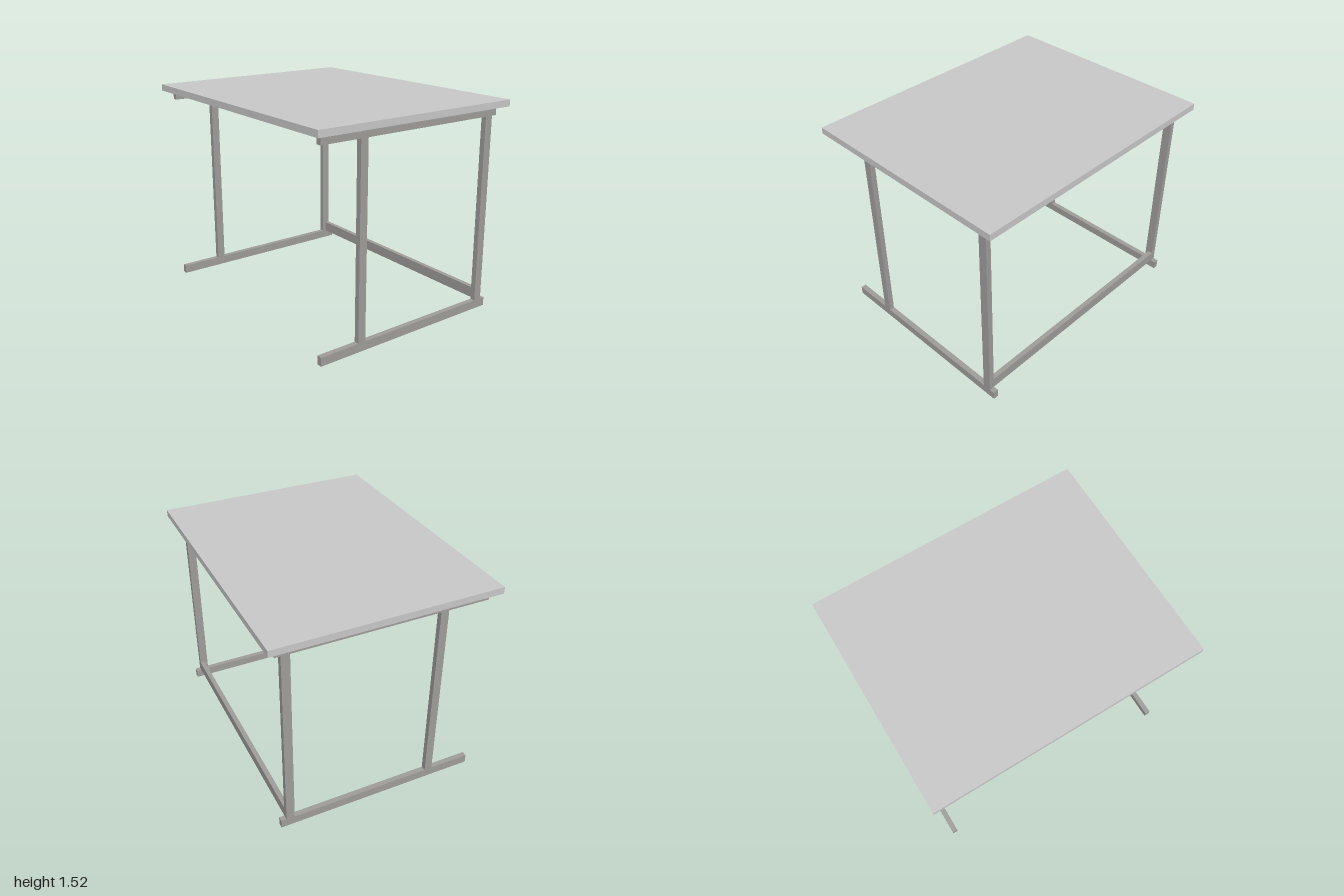
import * as THREE from 'three';

export function createModel() {
  const model = new THREE.Group();
  const topGrey = new THREE.MeshStandardMaterial({ color: 0xc8c8c8 });
  topGrey.name = 'light grey top';
  const frameGrey = new THREE.MeshStandardMaterial({ color: 0x9e9d9a });
  frameGrey.name = 'warm grey frame';

  // Box given by its limits on each axis
  function addBox(name, material, [x0, x1], [y0, y1], [z0, z1]) {
    const mesh = new THREE.Mesh(new THREE.BoxGeometry(x1 - x0, y1 - y0, z1 - z0), material);
    mesh.position.set((x0 + x1) / 2, (y0 + y1) / 2, (z0 + z1) / 2);
    mesh.name = name;
    model.add(mesh);
  }

  const inner = 0.9, outer = 0.938;
  const footTop = 0.062, railBottom = 1.413, topBottom = 1.475;

  addBox('tableTop', topGrey, [-1, 1], [topBottom, 1.522], [-0.8, 0.8]);

  // Side frames: foot, top rail and two posts
  for (const [side, x] of [['left', [inner, outer]], ['right', [-outer, -inner]]]) {
    addBox(side + 'Foot', frameGrey, x, [0, footTop], [-0.738, 0.738]);
    addBox(side + 'TopRail', frameGrey, x, [railBottom, topBottom], [-0.738, 0.738]);
    addBox(side + 'FrontLeg', frameGrey, x, [footTop, railBottom], [0.383, 0.44]);
    addBox(side + 'BackLeg', frameGrey, x, [footTop, railBottom], [-0.7, -0.64]);
  }

  // Cross bars joining the side frames along the back
  const barZ = [-0.7, -0.665];
  addBox('lowerStretcher', frameGrey, [-inner, inner], [footTop, 0.14], barZ);
  addBox('upperStretcher', frameGrey, [-inner, inner], [railBottom, topBottom], barZ);

  return model;
}
